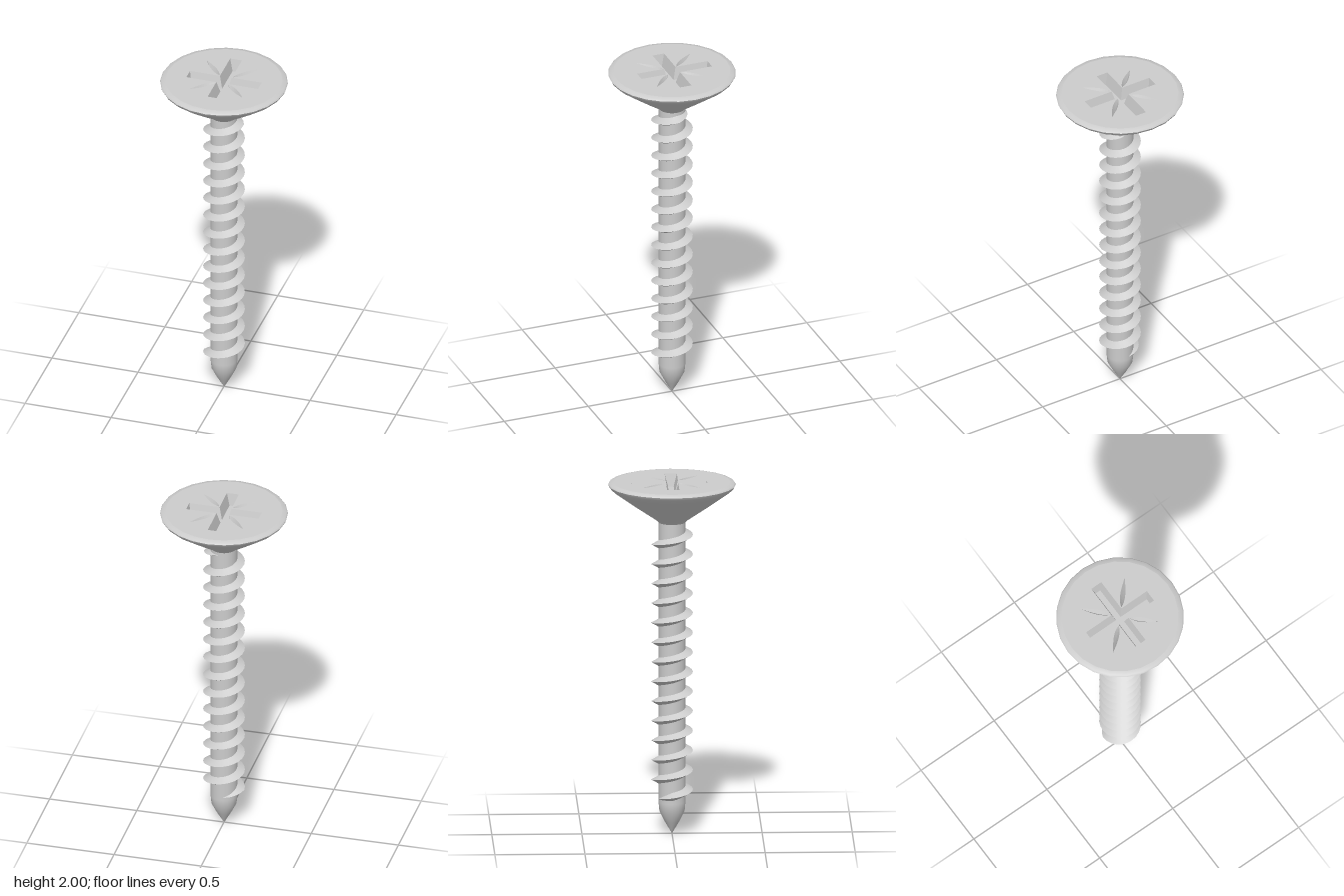
import * as THREE from 'three';

const SIDES = 24;
const TOP = 2.0;
const FACE_R = 0.325;

const material = new THREE.MeshStandardMaterial({ color: 0xcccccc });

function mesh(name, geometry) {
  const m = new THREE.Mesh(geometry, material);
  m.name = name;
  return m;
}

function lathe(name, profile) {
  const points = profile.map(([r, y]) => new THREE.Vector2(r, y));
  return mesh(name, new THREE.LatheGeometry(points, SIDES));
}

const toVectors = (points) => points.map(([x, y]) => new THREE.Vector2(x, y));

// Lays a geometry drawn in plan (x, -z) flat at the given height
const layFlat = (geometry, y) => geometry.rotateX(-Math.PI / 2).translate(0, y, 0);

// Sloped walls from an outline on the head face down to a lower outline
function recessWalls(name, top, bottom) {
  const positions = [];
  top.forEach(([ax, ay], i) => {
    const j = (i + 1) % top.length;
    const a = [ax, ay, 0];
    const b = [top[j][0], top[j][1], 0];
    positions.push(...a, ...b, ...bottom[j], ...a, ...bottom[j], ...bottom[i]);
  });
  const g = new THREE.BufferGeometry();
  g.setAttribute('position', new THREE.Float32BufferAttribute(positions, 3));
  g.computeVertexNormals();
  return mesh(name, layFlat(g, TOP));
}

// Plus-shaped outline: half width w, side arms lx, back arm lb, front arm lf
function crossOutline(w, lx, lb, lf) {
  return [
    [w, -w], [lx, -w], [lx, w], [w, w], [w, lb], [-w, lb],
    [-w, w], [-lx, w], [-lx, -w], [-w, -w], [-w, -lf], [w, -lf],
  ];
}

// Pointed diagonal groove, widest towards its inner end
function grooveOutline(start, end, halfWidth, depth) {
  const n = 10;
  const dx = end[0] - start[0], dy = end[1] - start[1];
  const len = Math.hypot(dx, dy);
  const top = [], bottom = [];
  const add = (t, side) => {
    const swell = Math.max(0, Math.sin(Math.PI * Math.pow(t, 0.75)));
    const x = start[0] + dx * t, y = start[1] + dy * t;
    const w = side * halfWidth * swell;
    top.push([x + (dy / len) * w, y - (dx / len) * w]);
    bottom.push([x, y, -depth * swell]);
  };
  for (let i = 0; i <= n; i++) add(i / n, 1);
  for (let i = n - 1; i > 0; i--) add(i / n, -1);
  return { top, bottom };
}

// Right-handed helical ridge with a triangular section that fades at both ends
function threadGeometry() {
  const pitch = 0.1115, yAtZero = 1.729;
  const t0 = -27.5 * Math.PI, t1 = 0.5 * Math.PI, fade = Math.PI / 2;
  const root = 0.07, height = 0.046, halfThick = 0.026;
  const steps = Math.round(((t1 - t0) / (2 * Math.PI)) * SIDES);
  const positions = [], index = [];
  for (let i = 0; i <= steps; i++) {
    const t = t0 + ((t1 - t0) * i) / steps;
    const f = Math.min(1, (t - t0) / fade, (t1 - t) / fade);
    const y = yAtZero + (pitch * t) / (2 * Math.PI);
    const tip = root + height * f, h = halfThick * f;
    // lower flank (tip, root), then upper flank (root, tip)
    for (const [r, dy] of [[tip, 0], [root, -h], [root, h], [tip, 0]]) {
      positions.push(r * Math.cos(t), y + dy, -r * Math.sin(t));
    }
    if (i === steps) break;
    for (const k of [0, 2]) {
      const a = i * 4 + k, b = a + 1, c = b + 4, d = a + 4;
      index.push(a, b, c, a, c, d);
    }
  }
  const g = new THREE.BufferGeometry();
  g.setAttribute('position', new THREE.Float32BufferAttribute(positions, 3));
  g.setIndex(index);
  g.computeVertexNormals();
  return g;
}

export function createModel() {
  const screw = new THREE.Group();
  screw.name = 'screw';

  // Shank with pointed tip, and its thread
  screw.add(lathe('shank', [[0, 0], [0.04, 0.068], [0.07, 0.128], [0.075, 0.18], [0.075, 1.8]]));
  screw.add(mesh('thread', threadGeometry()));

  // Countersunk head: conical underside and narrow rounded rim
  const head = new THREE.Group();
  head.name = 'head';
  head.add(lathe('headUnderside', [
    [0.074, 1.77], [0.085, 1.783], [0.2, 1.862], [0.32, 1.948], [0.348, 1.972], [0.355, 1.986],
  ]));
  head.add(lathe('headRim', [[0.355, 1.986], [0.348, 1.995], [FACE_R, TOP]]));

  // Drive recess outlines
  const depth = 0.07;
  const crossTop = crossOutline(0.034, 0.208, 0.225, 0.195);
  const crossBottom = crossOutline(0.016, 0.194, 0.21, 0.181);
  const grooves = [];
  for (const sx of [1, -1]) {
    grooves.push(grooveOutline([sx * 0.038, 0.04], [sx * 0.155, 0.17], 0.014, 0.03));
    grooves.push(grooveOutline([sx * 0.038, -0.04], [sx * 0.155, -0.15], 0.014, 0.03));
  }

  // Flat face pierced by the recesses
  const rim = [];
  for (let i = 0; i < SIDES; i++) {
    const a = (i / SIDES) * 2 * Math.PI;
    rim.push([FACE_R * Math.cos(a), FACE_R * Math.sin(a)]);
  }
  const face = new THREE.Shape(toVectors(rim));
  for (const outline of [crossTop, ...grooves.map((g) => g.top)]) {
    face.holes.push(new THREE.Path(toVectors(outline)));
  }
  head.add(mesh('headFace', layFlat(new THREE.ShapeGeometry(face), TOP)));

  // Recess walls and floor
  head.add(recessWalls('crossRecessWalls', crossTop, crossBottom.map(([x, y]) => [x, y, -depth])));
  const floor = new THREE.ShapeGeometry(new THREE.Shape(toVectors(crossBottom)));
  head.add(mesh('crossRecessFloor', layFlat(floor, TOP - depth)));
  grooves.forEach((g) => head.add(recessWalls('diagonalGroove', g.top, g.bottom)));

  screw.add(head);
  return screw;
}
